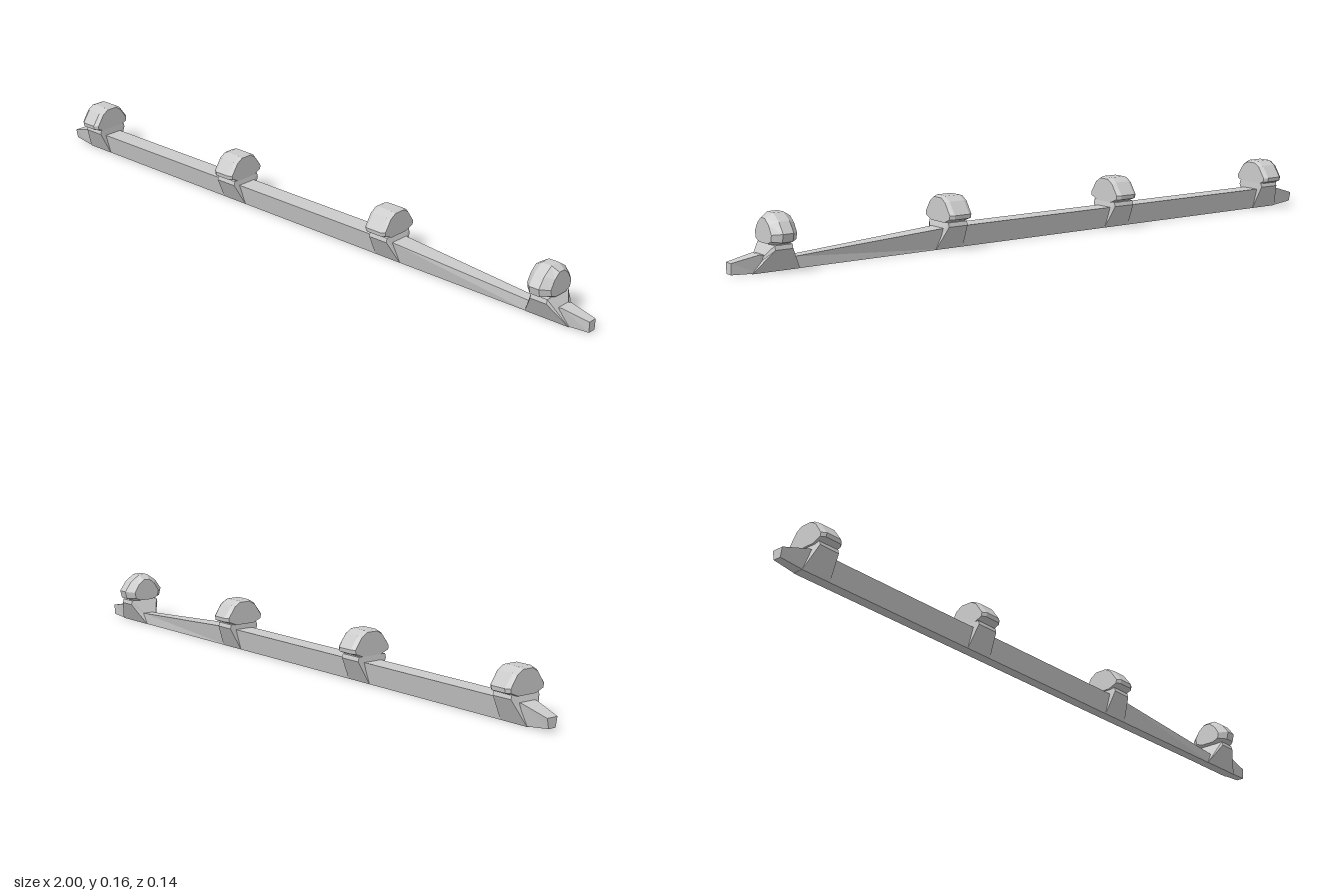
import * as THREE from 'three';

const material = new THREE.MeshStandardMaterial({ color: 0xcccccc, flatShading: true });

// Skin a list of rings (each the same number of [x, y, z] points), capped at both ends.
// Rings run along +x with points going counter-clockwise when seen from +x.
function loft(name, rings) {
  const n = rings[0].length;
  const pos = rings.flat(2);
  const index = [];
  for (let r = 0; r < rings.length - 1; r++) {
    for (let i = 0; i < n; i++) {
      const j = (i + 1) % n;
      const a = r * n + i, b = r * n + j, c = a + n, d = b + n;
      index.push(a, b, d, a, d, c);
    }
  }
  const last = (rings.length - 1) * n;
  for (let i = 1; i < n - 1; i++) {
    index.push(0, i + 1, i, last, last + i, last + i + 1);
  }
  let geometry = new THREE.BufferGeometry();
  geometry.setAttribute('position', new THREE.Float32BufferAttribute(pos, 3));
  geometry.setIndex(index);
  geometry = geometry.toNonIndexed();
  geometry.computeVertexNormals();
  const mesh = new THREE.Mesh(geometry, material);
  mesh.name = name;
  return mesh;
}

// Four-sided section, narrow below and wide above
const keel = (x, top, lowHalf, topHalf, bottom = 0) => [
  [x, bottom, lowHalf], [x, bottom, -lowHalf], [x, top, -topHalf], [x, top, topHalf],
];

// Bracket flaring outwards in z and narrowing in x towards its top
function bracket({ base, top, height }) {
  const side = (b, t) => [
    [b, 0, 0.016], [b, 0, -0.016],
    [t, height - 0.012, -0.05], [t, height, -0.047],
    [t, height, 0.047], [t, height - 0.012, 0.05],
  ];
  return loft('bracket', [side(base[0], top[0]), side(base[1], top[1])]);
}

// Domed knob, its underside rising towards the overhanging ends
const dome = [
  [-0.035, 0.076], [-0.066, 0.088], [-0.068, 0.1], [-0.042, 0.136], [-0.02, 0.149],
  [0.02, 0.149], [0.042, 0.136], [0.068, 0.1], [0.066, 0.088], [0.035, 0.076],
];
// Rounder knob for the thin end
const round = [
  [-0.032, 0.072], [-0.062, 0.082], [-0.068, 0.105], [-0.046, 0.135], [-0.016, 0.155],
  [0.016, 0.155], [0.046, 0.135], [0.068, 0.105], [0.062, 0.082], [0.032, 0.072],
];
function knob({ cap, profile, bevel, shrink }) {
  const section = (x, s) => profile.map(([z, y]) => [x, 0.09 + (y - 0.09) * (s + (1 - s) * 0.4), z * s]);
  const [a, b] = cap;
  return loft('knob', [
    section(a, shrink), section(a + bevel, 1), section(b - bevel, 1), section(b, shrink),
  ]);
}

export function createModel() {
  const group = new THREE.Group();
  group.name = 'rail';

  // Long beam, thinning towards the left end
  group.add(loft('beam', [
    keel(-1, 0.036, 0.012, 0.018, 0.008),
    keel(-0.92, 0.06, 0.016, 0.027),
    keel(-0.84, 0.062, 0.016, 0.03),
    keel(0.34, 0.062, 0.016, 0.03),
    keel(0.82, 0.033, 0.015, 0.016),
    keel(0.92, 0.05, 0.015, 0.022),
    keel(1, 0.035, 0.012, 0.014, 0.004),
  ]));

  // Four stations along the beam, each a bracket carrying a knob
  const stations = [
    { base: [-0.93, -0.835], top: [-0.905, -0.84], height: 0.082, cap: [-0.912, -0.84], profile: dome, bevel: 0.012, shrink: 0.86 },
    { base: [-0.32, -0.23], top: [-0.312, -0.242], height: 0.078, cap: [-0.312, -0.24], profile: dome, bevel: 0.012, shrink: 0.88 },
    { base: [0.282, 0.372], top: [0.288, 0.35], height: 0.078, cap: [0.282, 0.354], profile: dome, bevel: 0.012, shrink: 0.88 },
    { base: [0.8, 0.94], top: [0.838, 0.89], height: 0.074, cap: [0.823, 0.898], profile: round, bevel: 0.022, shrink: 0.66 },
  ];
  stations.forEach((s, i) => {
    const station = new THREE.Group();
    station.name = `station${i + 1}`;
    station.add(bracket(s), knob(s));
    group.add(station);
  });
  return group;
}
